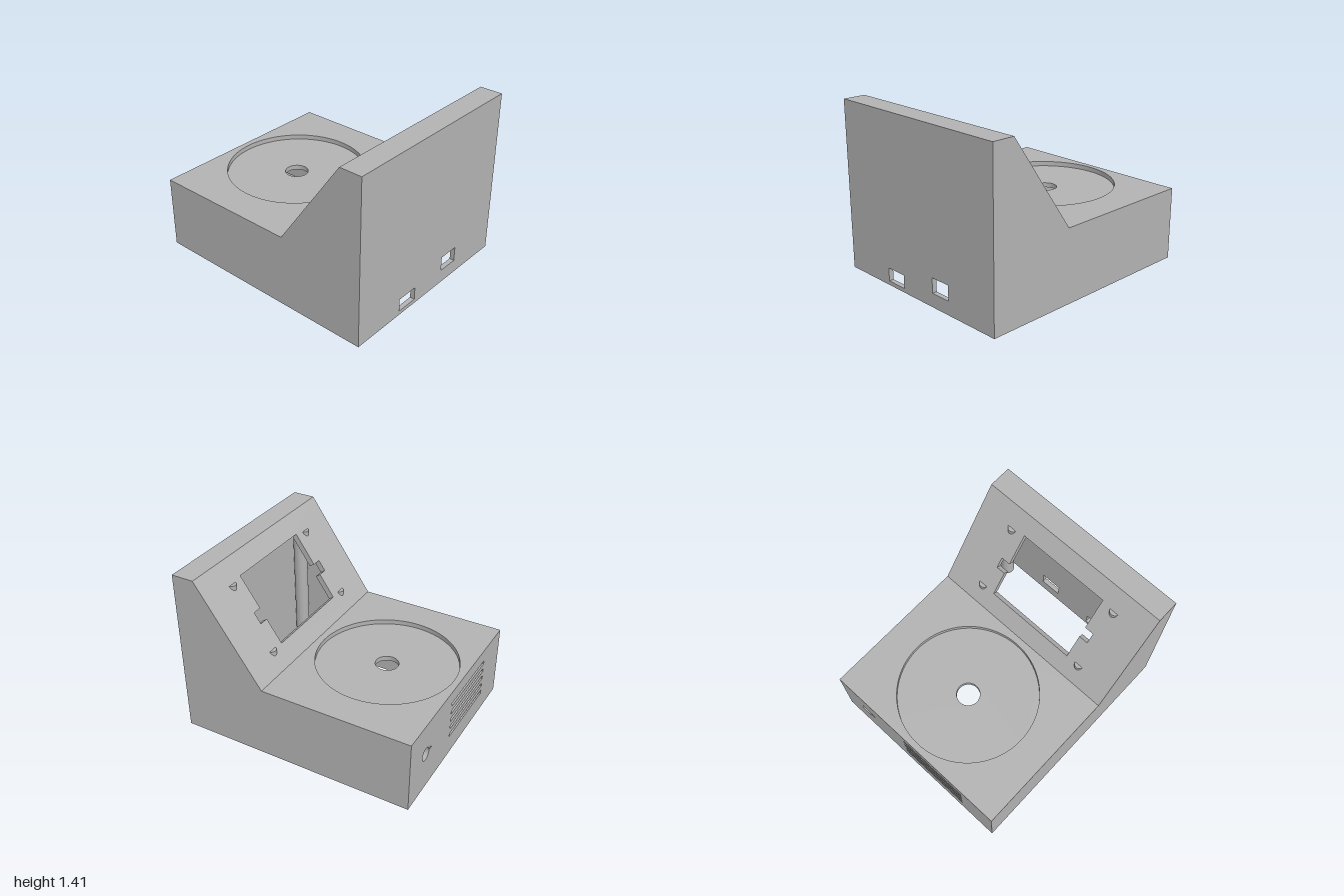
import * as THREE from 'three';
import { toCreasedNormals } from 'three/addons/utils/BufferGeometryUtils.js';

const W = 0.84, T = 0.04;                 // half width, wall thickness
const DECK = 0.615, TOP = 1.41;           // deck and top heights
const Z0 = 0.255, Z1 = 0.81;              // foot and head of the sloped panel

export function createModel() {
  const group = new THREE.Group();
  const grey = new THREE.MeshStandardMaterial({ color: 0xb2b2b2 });

  const polygon = (pts, Type = THREE.Shape) => new Type(pts.map(p => new THREE.Vector2(...p)));
  const rect = (x0, y0, x1, y1, Type) => polygon([[x0, y0], [x1, y0], [x1, y1], [x0, y1]], Type);
  const circle = (x, y, r, Type = THREE.Path) => new Type().absarc(x, y, r, 0, Math.PI * 2, false);

  // Extrude an outline with cut-outs and add it as a named part
  function plate(name, shape, holes, depth, position, rotation = [0, 0, 0]) {
    shape.holes.push(...holes);
    const geo = new THREE.ExtrudeGeometry(shape, { depth, bevelEnabled: false, curveSegments: 48 });
    const mesh = new THREE.Mesh(toCreasedNormals(geo, 0.5), grey);
    mesh.name = name;
    mesh.position.set(...position);
    mesh.rotation.set(...rotation);
    group.add(mesh);
  }
  const FLAT = [-Math.PI / 2, 0, 0];      // outline y becomes -z, depth rises
  const SIDE = [0, -Math.PI / 2, 0];      // outline x becomes z, depth goes to -x

  // Side walls
  const profile = [[-1, 0], [1, 0], [1, TOP], [Z1, TOP], [Z0, DECK], [-1, DECK]];
  plate('leftWall', polygon(profile), [], T, [W, 0, 0], SIDE);
  plate('rightWall', polygon(profile), [], T, [-W + T, 0, 0], SIDE);

  // Front wall with two port openings
  plate('frontWall', rect(-W + T, 0, W - T, TOP), [
    rect(-0.36, 0.035, -0.17, 0.145, THREE.Path),
    rect(0.175, 0.115, 0.355, 0.24, THREE.Path),
  ], T, [0, 0, 1 - T]);

  // Back wall with vent slots, a socket hole and a pin hole
  const backHoles = [circle(0.575, 0.335, 0.055), circle(0.5, 0.335, 0.02)];
  for (let i = 0; i < 5; i++) {
    const y = 0.488 - i * 0.075;
    backHoles.push(rect(-0.51, y - 0.015, 0.13, y + 0.015, THREE.Path));
  }
  plate('backWall', rect(-W + T, 0, W - T, DECK), backHoles, T, [0, 0, -1]);

  // Deck with a round recess and a central hole in its floor
  plate('deck', rect(-W + T, -Z0 - 0.02, W - T, 1), [circle(0, 0.375, 0.575)], T, [0, DECK - T, 0], FLAT);
  plate('recessFloor', circle(0, 0.375, 0.615, THREE.Shape), [circle(0, 0.375, 0.095)], T,
    [0, DECK - 2 * T, 0], FLAT);

  // Top ledge
  plate('topLedge', rect(-W + T, -1, W - T, -Z1), [], T, [0, TOP - T, 0], FLAT);

  // Sloped display panel, window notched on both sides
  const rise = TOP - DECK, run = Z1 - Z0, slope = Math.hypot(rise, run);
  const window = polygon([
    [-0.4, 0.175], [0.4, 0.175], [0.4, 0.4], [0.48, 0.4], [0.48, 0.5], [0.4, 0.5], [0.4, 0.795],
    [-0.4, 0.795], [-0.4, 0.5], [-0.48, 0.5], [-0.48, 0.4], [-0.4, 0.4],
  ], THREE.Path);
  plate('displayPanel', rect(-W + T, 0, W - T, slope), [window], 0.05, [0, DECK, Z0],
    [Math.atan2(run, rise), 0, 0]);

  for (const s of [1, -1]) {
    // Pegs breaking through the sloped panel
    for (const z of [0.37, 0.71]) {
      const y = DECK + (z - 0.02 - Z0) * rise / run;
      plate('displayPeg', circle(0, 0, 0.04, THREE.Shape), [], 0.06, [s * 0.52, y - 0.045, z], FLAT);
    }
    // Screw posts in the corners
    for (const [z, h] of [[0.885, TOP - T], [-0.885, DECK - T]]) {
      plate('screwPost', circle(0, 0, 0.06, THREE.Shape), [circle(0, 0, 0.02)], h, [s * 0.725, 0, z], FLAT);
    }
    // Mounting ribs hanging below the recess
    plate('mountRib', rect(-0.65, 0.39, -0.1, DECK - 2 * T), [circle(-0.15, 0.46, 0.025)], T,
      [s * 0.17 + T / 2, 0, 0], SIDE);
  }

  // Small boss on the inside of the back wall
  plate('innerBoss', circle(0, 0, 0.05, THREE.Shape), [circle(0, 0, 0.015)], 0.06, [0.28, 0.21, -1 + T]);

  return group;
}
